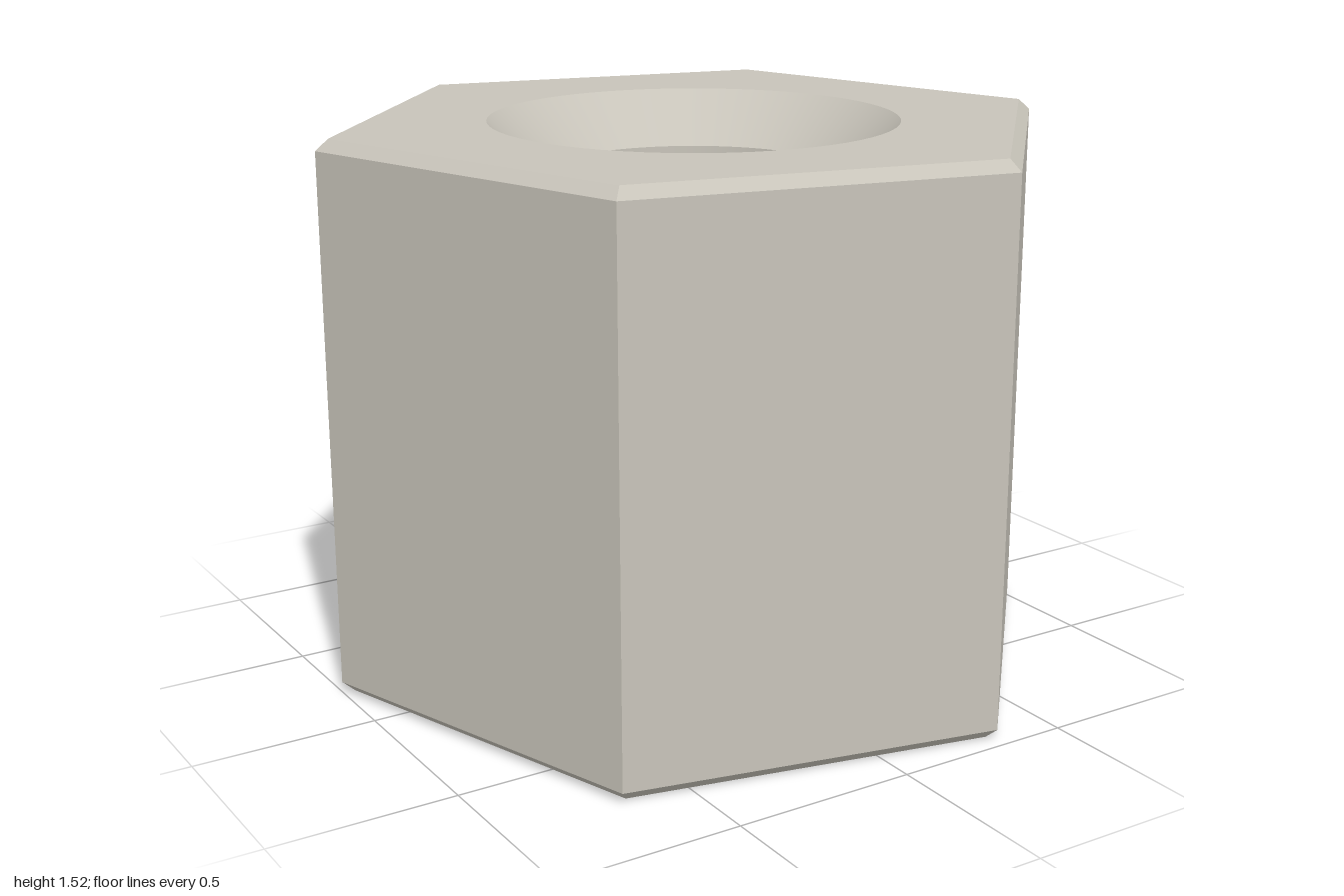
import * as THREE from 'three';

const HEIGHT = 1.52;
const RADIUS = 1.0223;               // hexagon corner radius
const CHAMFER = 0.03;
const FACE_RADIUS = RADIUS - CHAMFER / Math.cos(Math.PI / 6);
const BORE = 0.41;
const SINK = 0.556;                  // countersink mouth radius
const SINK_DEPTH = 0.146;
const TWIST = THREE.MathUtils.degToRad(18);

export function createModel() {
  const group = new THREE.Group();
  const steel = new THREE.MeshStandardMaterial({ color: 0xc8c4ba });
  steel.name = 'warm grey steel';

  const add = (name, geometry) => {
    const mesh = new THREE.Mesh(geometry, steel);
    mesh.name = name;
    group.add(mesh);
  };
  const lathe = (points, segments, start = 0) =>
    new THREE.LatheGeometry(points.map(([r, y]) => new THREE.Vector2(r, y)), segments, start);

  // Six flat sides with chamfered top and bottom edges
  const sides = lathe([
    [FACE_RADIUS, 0], [RADIUS, CHAMFER],
    [RADIUS, HEIGHT - CHAMFER], [FACE_RADIUS, HEIGHT],
  ], 6, TWIST).toNonIndexed();
  sides.computeVertexNormals();
  add('hexBody', sides);

  // Flat end faces, pierced by the countersink mouths
  const endFace = (top) => {
    const shape = new THREE.Shape();
    const corners = [];
    for (let i = 0; i < 6; i++) {
      const a = TWIST + i * Math.PI / 3;
      const z = FACE_RADIUS * Math.cos(a);
      corners.push(new THREE.Vector2(FACE_RADIUS * Math.sin(a), top ? -z : z));
    }
    shape.setFromPoints(corners);
    const mouth = new THREE.Path();
    mouth.absarc(0, 0, SINK, 0, Math.PI * 2);
    shape.holes.push(mouth);
    const geometry = new THREE.ShapeGeometry(shape, 32);
    geometry.rotateX(top ? -Math.PI / 2 : Math.PI / 2);
    geometry.translate(0, top ? HEIGHT : 0, 0);
    return geometry;
  };
  add('topFace', endFace(true));
  add('bottomFace', endFace(false));

  // Through hole: profiles run downward so the surfaces face the axis
  add('topCountersink', lathe([[SINK, HEIGHT], [BORE, HEIGHT - SINK_DEPTH]], 64));
  add('bore', lathe([[BORE, HEIGHT - SINK_DEPTH], [BORE, SINK_DEPTH]], 64));
  add('bottomCountersink', lathe([[BORE, SINK_DEPTH], [SINK, 0]], 64));

  return group;
}
